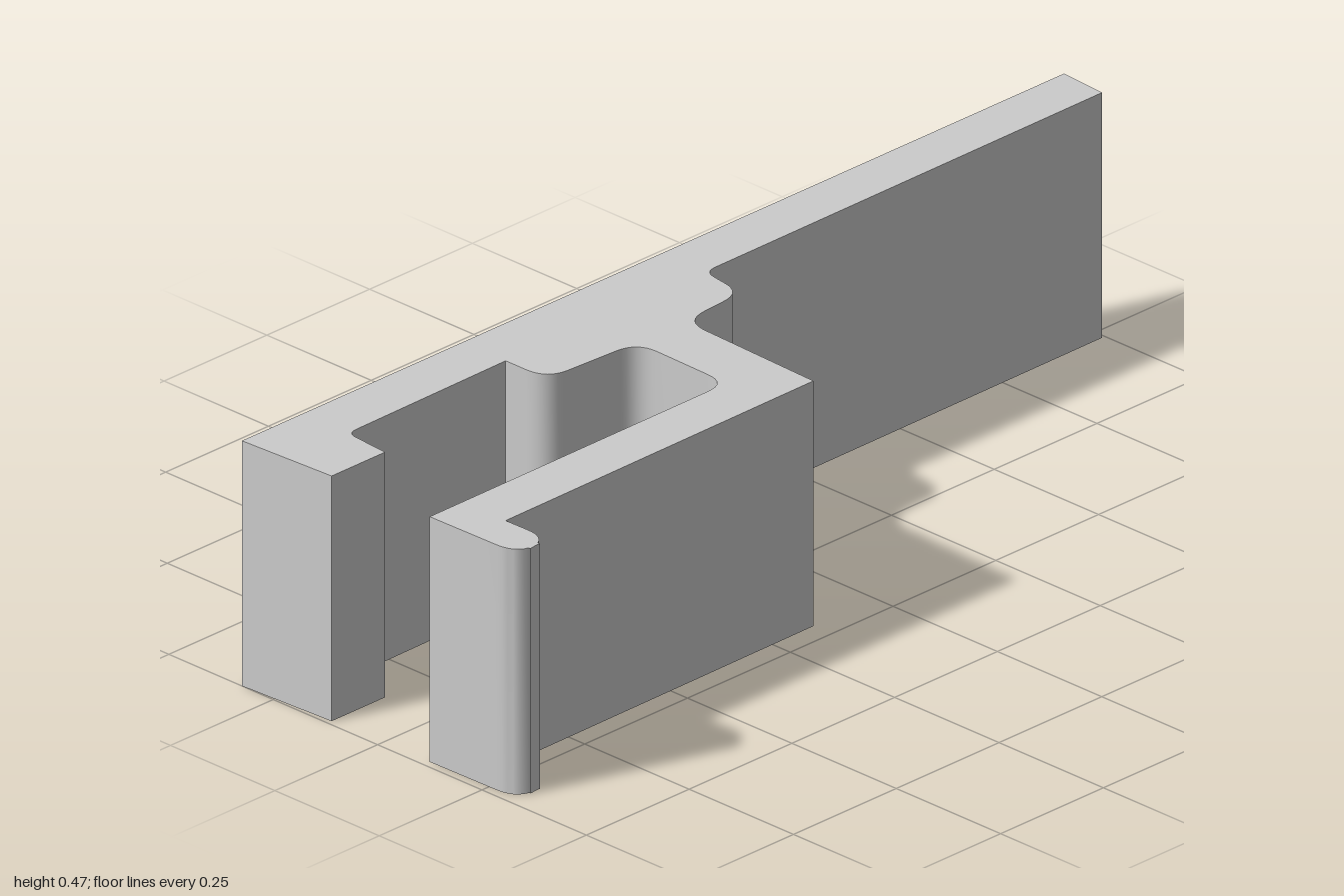
import * as THREE from 'three';
import { toCreasedNormals } from 'three/addons/utils/BufferGeometryUtils.js';

const HEIGHT = 0.466;

// Cross-section corners seen from above: x, z, corner rounding
const corners = [
  // long flat plate, rear end
  [-0.325, -1, 0], [-0.227, -0.993, 0],
  // rear step and bridge
  [-0.222, -0.022, 0.025], [-0.122, -0.008, 0.045], [-0.112, 0.138, 0.05], [0.207, 0.15, 0],
  // outer arm with hooked lip
  [0.213, 0.905, 0], [0.315, 0.903, 0.05], [0.322, 0.982, 0.055], [0.11, 0.985, 0],
  // inside of the channel
  [0.107, 0.26, 0.045], [-0.112, 0.255, 0.05], [-0.123, 0.463, 0.05], [-0.222, 0.463, 0],
  // front lip of the plate
  [-0.217, 0.852, 0.02], [-0.12, 0.86, 0], [-0.12, 0.99, 0], [-0.325, 1, 0],
];

// Closed outline with each corner rounded by its own amount
function roundedOutline(list) {
  const shape = new THREE.Shape();
  const pts = list.map(([x, z]) => new THREE.Vector2(x, -z));
  const n = pts.length;
  pts.forEach((p, i) => {
    const r = list[i][2];
    const toward = (q) => q.clone().sub(p).setLength(r).add(p);
    const a = toward(pts[(i + n - 1) % n]);
    const b = toward(pts[(i + 1) % n]);
    if (i === 0) shape.moveTo(a.x, a.y);
    else shape.lineTo(a.x, a.y);
    if (r > 0) shape.quadraticCurveTo(p.x, p.y, b.x, b.y);
  });
  shape.closePath();
  return shape;
}

export function createModel() {
  const group = new THREE.Group();
  group.name = 'clipProfile';

  // Constant section extruded upward, smooth only around the rounded corners
  const section = new THREE.ExtrudeGeometry(roundedOutline(corners), {
    depth: HEIGHT, bevelEnabled: false, curveSegments: 8,
  });
  section.rotateX(-Math.PI / 2);
  const clip = new THREE.Mesh(
    toCreasedNormals(section, 0.6),
    new THREE.MeshStandardMaterial({ color: 0xcccccc }),
  );
  clip.name = 'extrudedClip';
  group.add(clip);
  return group;
}
